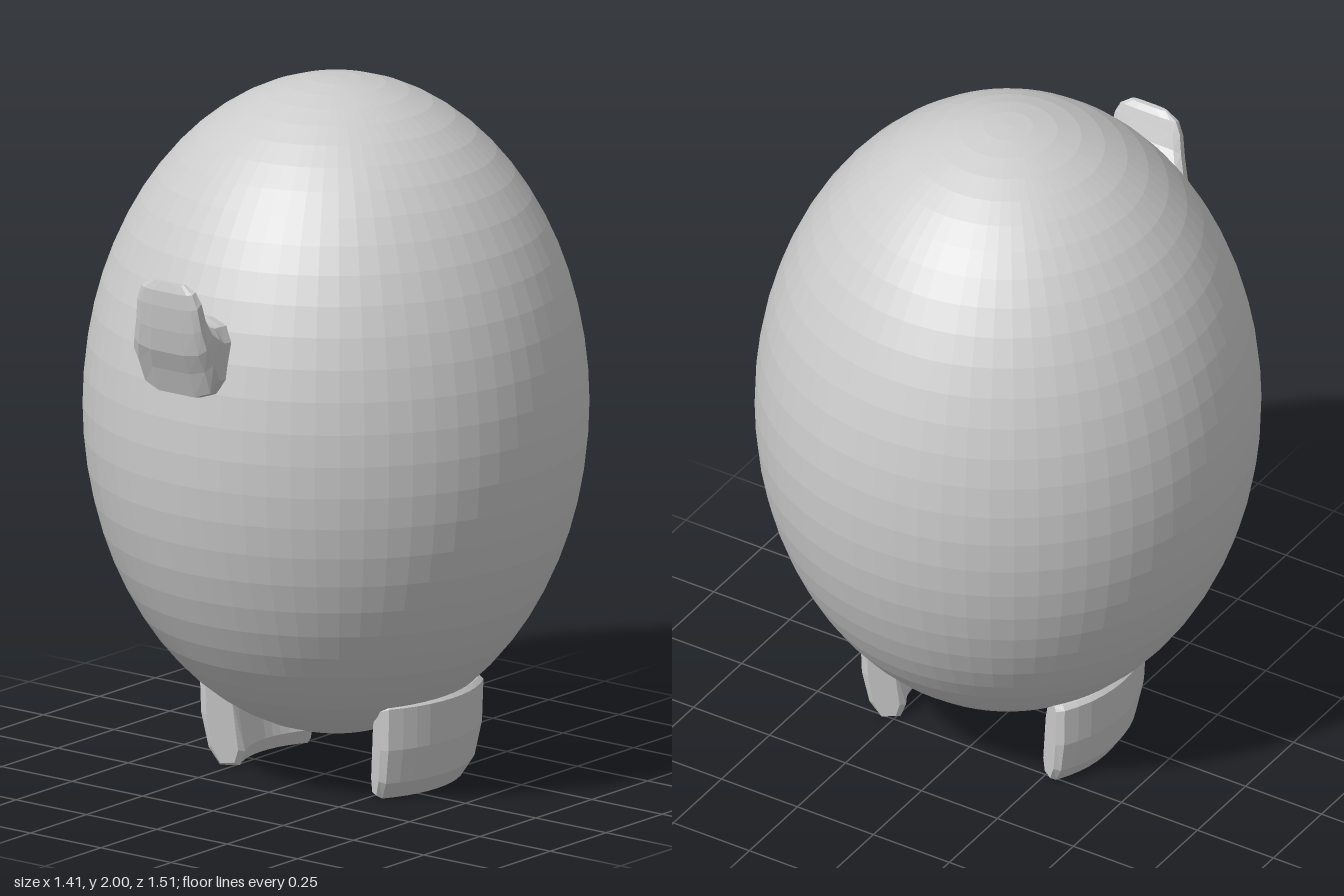
import * as THREE from 'three';

const material = new THREE.MeshStandardMaterial({ color: 0xcccccc, flatShading: true });

// Skin closed rings of points (counter-clockwise about the direction of travel), with both ends capped.
function loft(rings) {
  const n = rings[0].length, index = [];
  const points = rings.flat();
  for (let i = 0; i < rings.length - 1; i++) {
    for (let j = 0; j < n; j++) {
      const a = i * n + j, b = i * n + (j + 1) % n;
      index.push(a, b, b + n, a, b + n, a + n);
    }
  }
  const centre = (ring) => ring.reduce((s, p) => s.add(p), new THREE.Vector3()).divideScalar(n);
  const last = (rings.length - 1) * n, first = points.length;
  points.push(centre(rings[0]), centre(rings[rings.length - 1]));
  for (let j = 0; j < n; j++) {
    const k = (j + 1) % n;
    index.push(first, k, j, first + 1, last + j, last + k);
  }
  const geometry = new THREE.BufferGeometry().setFromPoints(points);
  geometry.setIndex(index);
  geometry.computeVertexNormals();
  return geometry;
}

function addPart(group, name, geometry) {
  const mesh = new THREE.Mesh(geometry, material);
  mesh.name = name;
  group.add(mesh);
  return mesh;
}

// Curved foot: a radial profile swept through an arc that follows the body.
function footGeometry(turn) {
  const profile = [[0.285, 0], [0.34, 0], [0.372, 0.05], [0.393, 0.15], [0.397, 0.27],
    [0.385, 0.282], [0.325, 0.28], [0.295, 0.2], [0.27, 0.04]];
  const half = 0.61, steps = 10, rings = [];
  const section = (angle, shrink) => profile.map(([r, y]) => {
    const rr = 0.335 + (r - 0.335) * shrink;
    const yy = 0.14 + (y - 0.14) * (1 - (1 - shrink) * 0.25);
    return new THREE.Vector3(rr * Math.cos(angle + turn), yy, rr * Math.sin(angle + turn));
  });
  rings.push(section(-half, 0.72));
  for (let i = 0; i <= steps; i++) rings.push(section((half - 0.05) * (2 * i / steps - 1), 1));
  rings.push(section(half, 0.72));
  return loft(rings);
}

// Upturned snout: rounded sections given by front and back (z, y) and the x range.
function snoutGeometry() {
  const sections = [
    [0.60, 1.22, 0.54, 1.455, -0.135, 0.14],
    [0.665, 1.235, 0.61, 1.46, -0.14, 0.145],
    [0.695, 1.31, 0.64, 1.455, -0.14, 0.15],
    [0.725, 1.37, 0.668, 1.46, -0.115, 0.148],
    [0.742, 1.44, 0.695, 1.495, -0.092, 0.143],
    [0.753, 1.51, 0.712, 1.54, -0.078, 0.14],
    [0.756, 1.555, 0.722, 1.568, -0.06, 0.125],
    [0.75, 1.582, 0.735, 1.582, -0.02, 0.095],
  ];
  const sides = 12;
  const squarish = (v) => Math.sign(v) * Math.pow(Math.abs(v), 0.6);
  return loft(sections.map(([zf, yf, zb, yb, x0, x1]) =>
    Array.from({ length: sides }, (_, j) => {
      const t = (j + 0.5) / sides * Math.PI * 2;
      const u = squarish(Math.cos(t)), v = squarish(Math.sin(t));
      return new THREE.Vector3(
        (x0 + x1) / 2 + u * (x1 - x0) / 2,
        (yf + yb) / 2 + v * (yb - yf) / 2,
        (zf + zb) / 2 + v * (zb - zf) / 2);
    })));
}

export function createModel() {
  const group = new THREE.Group();
  group.name = 'eggCreature';

  // Egg-shaped body
  const body = addPart(group, 'body', new THREE.SphereGeometry(1, 64, 32).scale(0.705, 0.9375, 0.705));
  body.position.set(0, 1.0625, -0.05);

  addPart(group, 'snout', snoutGeometry());

  // One foot on each side
  for (const [name, turn] of [['leftFoot', 0], ['rightFoot', Math.PI]]) {
    addPart(group, name, footGeometry(turn)).position.z = -0.075;
  }
  return group;
}
